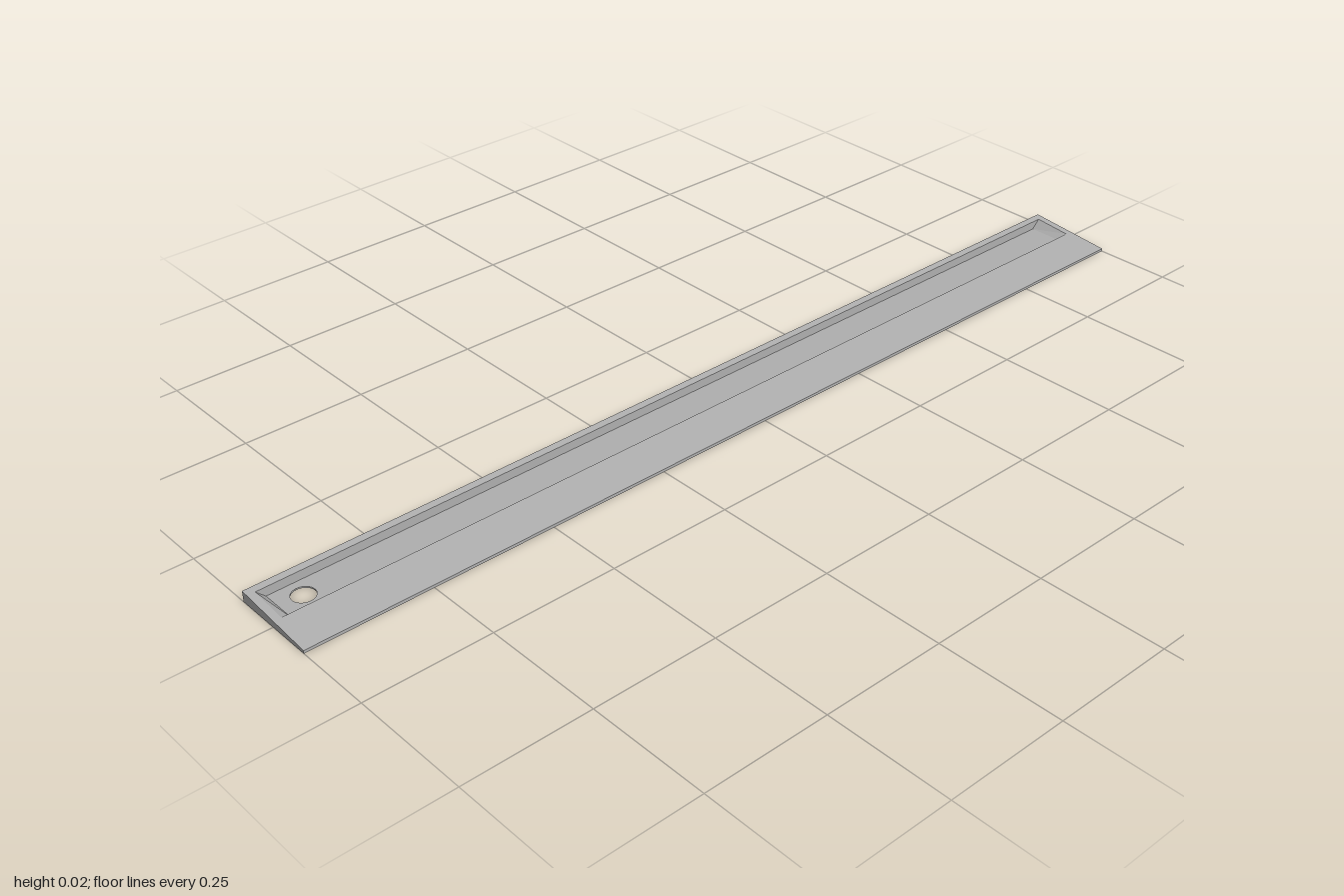
import * as THREE from 'three';

const X0 = -0.09, X1 = 0.09, FLOOR = 0.003;
const HOLE = { x: -0.037, z: 0.92, r: 0.022 };
const GROOVE = { x0: -0.075, x1: 0.003, top: 0.985, bottom: 0.967 };

// Height of the sloping top surface
const topY = (x) => THREE.MathUtils.mapLinear(x, X0, X1, 0.022, 0.006);

// Rectangular ring, counter-clockwise from above
const rectRing = (x0, x1, z, y) =>
  [[x0, z], [x1, z], [x1, -z], [x0, -z]].map(([x, zz]) => [x, y(x), zz]);

// Joins successive rings with flat quads
function loft(rings) {
  const pos = [];
  for (let k = 0; k + 1 < rings.length; k++) {
    const a = rings[k], b = rings[k + 1];
    a.forEach((p, i) => {
      const j = (i + 1) % a.length;
      pos.push(...p, ...a[j], ...b[j], ...p, ...b[j], ...b[i]);
    });
  }
  const g = new THREE.BufferGeometry();
  g.setAttribute('position', new THREE.Float32BufferAttribute(pos, 3));
  g.computeVertexNormals();
  return g;
}

// Flat rectangle pierced by the round hole, facing up (1) or down (-1)
function piercedPlate(x0, x1, z, y, facing) {
  const shape = new THREE.Shape([[x0, -z], [x1, -z], [x1, z], [x0, z]].map((p) => new THREE.Vector2(...p)));
  const hole = new THREE.Path();
  hole.absarc(HOLE.x, -facing * HOLE.z, HOLE.r, 0, Math.PI * 2, true);
  shape.holes.push(hole);
  return new THREE.ShapeGeometry(shape, 32).rotateX(-facing * Math.PI / 2).translate(0, y, 0);
}

// Round ring of the hole at height y
const holeRing = (y) => Array.from({ length: 32 }, (_, i) => {
  const t = i / 32 * Math.PI * 2;
  return [HOLE.x + HOLE.r * Math.cos(t), y, HOLE.z - HOLE.r * Math.sin(t)];
});

export function createModel() {
  const group = new THREE.Group();
  group.name = 'wedgeStrip';
  const grey = new THREE.MeshStandardMaterial({ color: 0xb0b0b0 });
  grey.name = 'grey';
  const add = (name, geometry) => {
    const mesh = new THREE.Mesh(geometry, grey);
    mesh.name = name;
    group.add(mesh);
  };

  // Outer sides, sloping top, then groove walls with slanted ends
  const { x0, x1, top, bottom } = GROOVE;
  add('wedgeBody', loft([
    rectRing(X0, X1, 1, () => 0),
    rectRing(X0, X1, 1, topY),
    rectRing(x0, x1, top, topY),
    rectRing(x0, x1, bottom, () => FLOOR),
  ]));
  add('grooveFloor', piercedPlate(x0, x1, bottom, FLOOR, 1));
  add('underside', piercedPlate(X0, X1, 1, 0, -1));
  add('holeWall', loft([holeRing(FLOOR), holeRing(0)]));
  return group;
}
